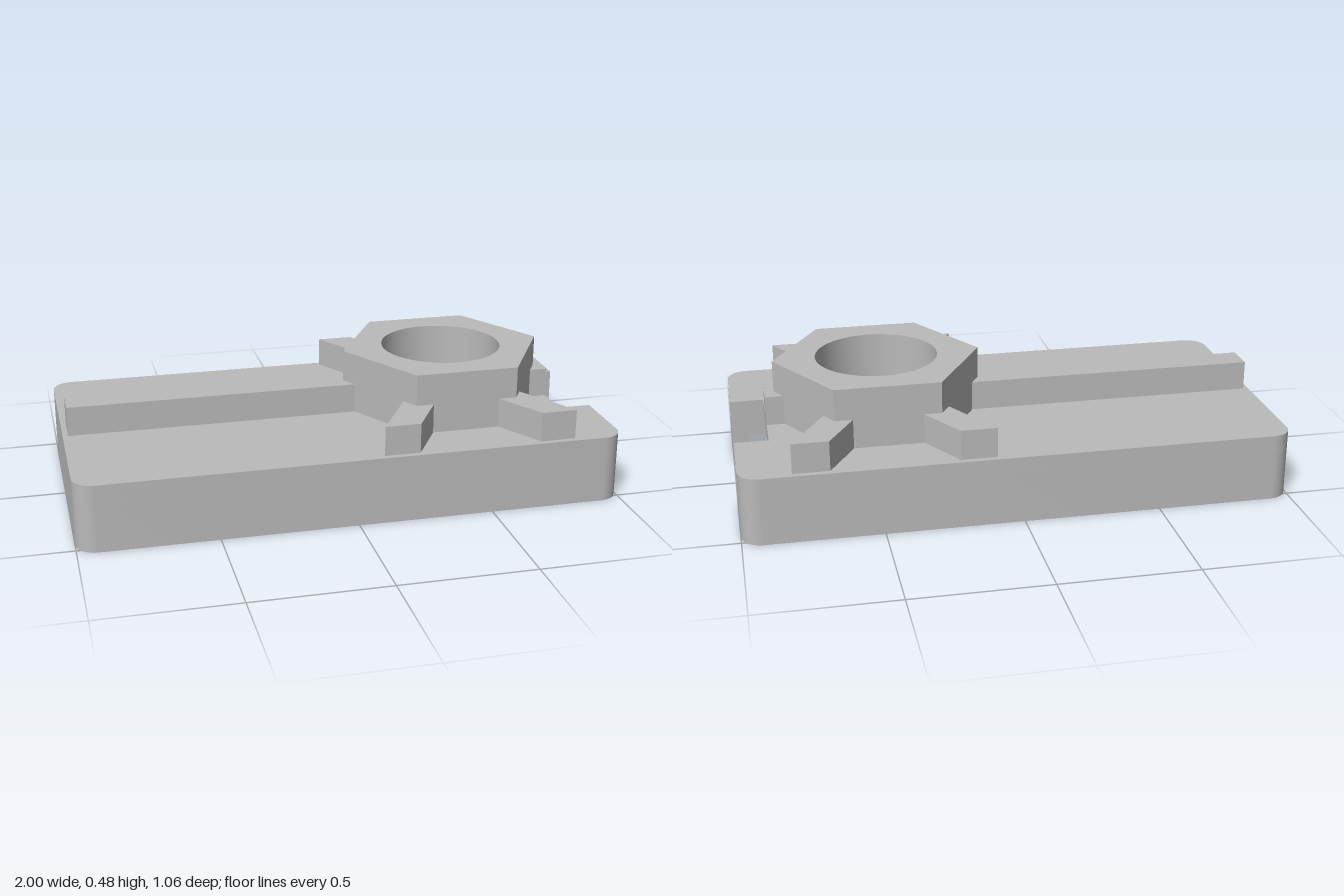
import * as THREE from 'three';
import { toCreasedNormals } from 'three/addons/utils/BufferGeometryUtils.js';

const grey = new THREE.MeshStandardMaterial({ color: 0xbababa });
grey.name = 'plain grey';

const W = 1, D = 0.53, R = 0.075;          // base half length, half depth, corner radius
const WALL = 0.07, FLOOR = 0.18, DECK = 0.25;
const NOTCH_X = 0.875, NOTCH_Z = 0.2;
const HUB_X = 0.455, BORE = 0.227, HOLE = 0.092;

// Extrudes a plan outline (x, -z) from y0 up to y1
function slab(name, shape, y0, y1) {
  const raw = new THREE.ExtrudeGeometry(shape, { depth: y1 - y0, bevelEnabled: false, curveSegments: 24 });
  raw.rotateX(-Math.PI / 2).translate(0, y0, 0);
  const mesh = new THREE.Mesh(toCreasedNormals(raw, 0.5), grey);
  mesh.name = name;
  return mesh;
}

function polygon(points) {
  return new THREE.Shape(points.map(([x, y]) => new THREE.Vector2(x, y)));
}

function withHole(shape, radius) {
  shape.holes.push(new THREE.Path().absarc(HUB_X, 0, radius, 0, Math.PI * 2, true));
  return shape;
}

// Rounded outer edge from one side of the notch to the other, closed by inner points
function basePlan(inner) {
  const s = new THREE.Shape();
  s.moveTo(W, NOTCH_Z);
  s.lineTo(W, D - R);
  s.absarc(W - R, D - R, R, 0, Math.PI / 2);
  s.absarc(-W + R, D - R, R, Math.PI / 2, Math.PI);
  s.absarc(-W + R, -D + R, R, Math.PI, Math.PI * 1.5);
  s.absarc(W - R, -D + R, R, Math.PI * 1.5, Math.PI * 2);
  s.lineTo(W, -NOTCH_Z);
  inner.forEach(([x, y]) => s.lineTo(x, y));
  return s;
}

function hexagon() {
  return polygon(Array.from({ length: 6 }, (_, i) => {
    const a = i * Math.PI / 3;
    return [HUB_X + 0.385 * Math.cos(a), 0.385 * Math.sin(a)];
  }));
}

export function createModel() {
  const model = new THREE.Group();
  model.name = 'ribbedHubPlate';

  // Hollow base: skirt wall open at the notch
  const ix = W - WALL, iz = D - WALL;
  const skirt = [[ix, -NOTCH_Z], [ix, -iz], [-ix, -iz], [-ix, iz], [ix, iz], [ix, NOTCH_Z]];
  model.add(slab('skirtWall', basePlan(skirt), 0, FLOOR));

  // Deck, with a round recess underneath
  const notch = [[NOTCH_X, -NOTCH_Z], [NOTCH_X, NOTCH_Z]];
  model.add(slab('deckLower', withHole(basePlan(notch), BORE), FLOOR, 0.23));
  model.add(slab('deckUpper', withHole(basePlan(notch), HOLE), 0.23, DECK));

  // Hexagonal hub: small through hole, wide bore above
  model.add(slab('hubFloor', withHole(hexagon(), HOLE), DECK, 0.295));
  model.add(slab('hubBore', withHole(hexagon(), BORE), 0.295, 0.477));

  // Straight ribs along the length
  const ribTop = 0.36, w = 0.057;
  const bar = (x0, x1) => polygon([[x0, -w], [x1, -w], [x1, w], [x0, w]]);
  model.add(slab('longRib', bar(-0.98, HUB_X - 0.3), DECK, ribTop));
  model.add(slab('shortRib', bar(HUB_X + 0.3, NOTCH_X), DECK, ribTop));

  // Four diagonal ribs at 60 degrees, ends cut parallel to the long side
  const half = w / Math.sin(Math.PI / 3), slope = 1 / Math.tan(Math.PI / 3);
  for (const sx of [-1, 1]) for (const sz of [-1, 1]) {
    const p = (z, side) => [HUB_X + sx * (z * slope) + side * half, sz * z];
    const rib = polygon([p(0.265, -1), p(0.265, 1), p(0.508, 1), p(0.508, -1)]);
    model.add(slab('diagonalRib', rib, DECK, ribTop));
  }
  return model;
}
